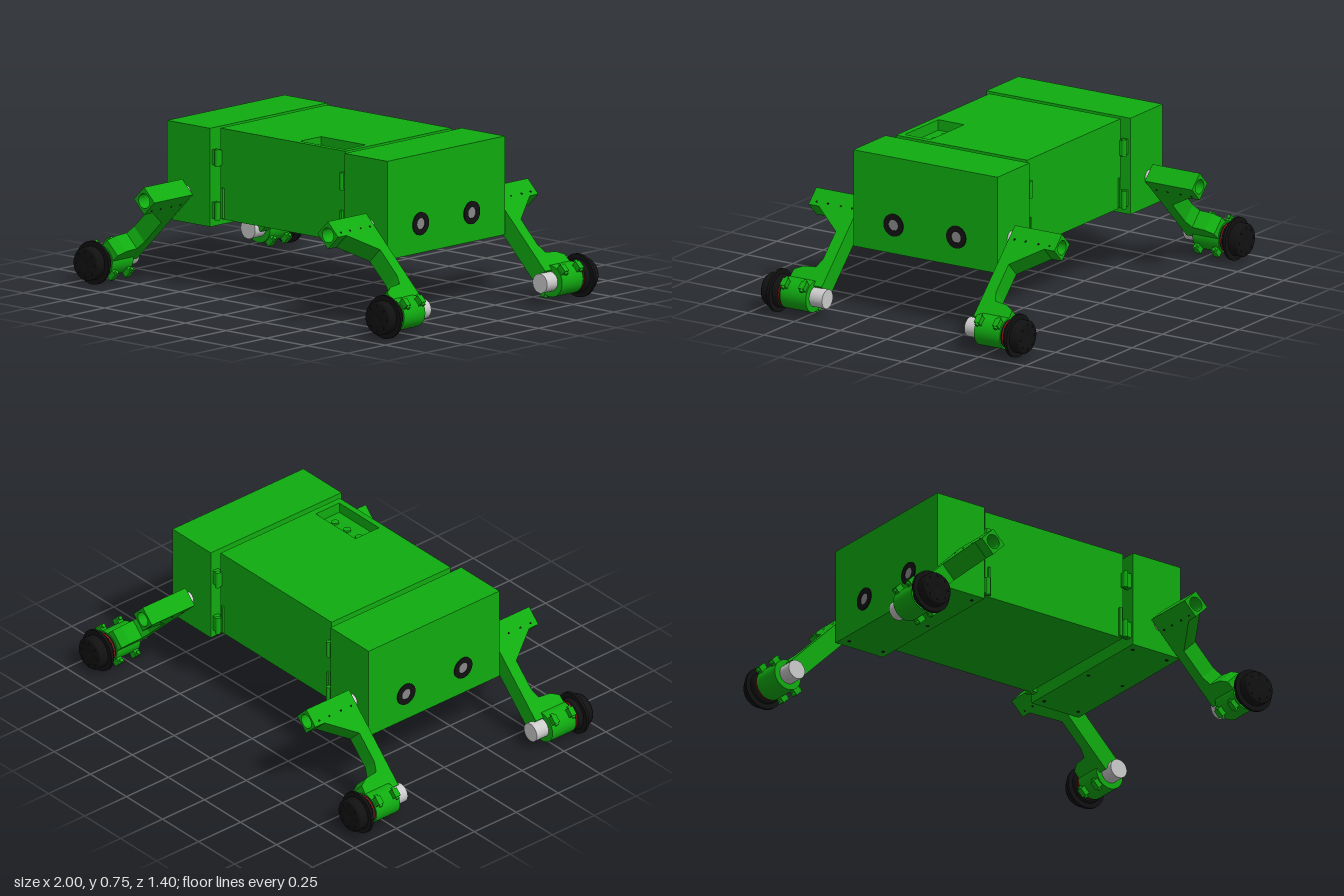
import * as THREE from 'three';

const mat = (color) => new THREE.MeshStandardMaterial({ color });
const green = mat(0x10ac10), black = mat(0x111111), silver = mat(0xcccccc), lens = mat(0x888888), red = mat(0xa01515);

function add(parent, name, geometry, material = green) {
  const m = new THREE.Mesh(geometry, material);
  m.name = name;
  parent.add(m);
  return m;
}

// box given by its limits on each axis
function box(x0, x1, y0, y1, z0, z1) {
  return new THREE.BoxGeometry(x1 - x0, y1 - y0, z1 - z0)
    .translate((x0 + x1) / 2, (y0 + y1) / 2, (z0 + z1) / 2);
}

// cylinder along z, from z0 to z1, around (x, y)
function rod(r, z0, z1, x = 0, y = 0, seg = 32) {
  return new THREE.CylinderGeometry(r, r, z1 - z0, seg)
    .rotateX(Math.PI / 2).translate(x, y, (z0 + z1) / 2);
}

function shapeOf(points) {
  return new THREE.Shape(points.map(([x, y]) => new THREE.Vector2(x, y)));
}

function extrude(shape, depth) {
  return new THREE.ExtrudeGeometry(shape, { depth, bevelEnabled: false, curveSegments: 16 });
}

// Leg: local x runs down the leg, z outward from the body, origin on the hip axis
function createLeg() {
  const leg = new THREE.Group();
  const w = 0.045, L = 0.472;

  // square hip block with a bore for the drive shaft
  const square = shapeOf([[-w, -w], [w, -w], [w, w], [-w, w]]);
  square.holes.push(new THREE.Path().absarc(0, 0, 0.034, 0, Math.PI * 2, true));
  add(leg, 'hipBlock', extrude(square, 0.255).translate(0, 0, 0.41));
  add(leg, 'hipShaft', rod(0.034, 0.37, 0.5), silver);

  // arm with gusset at the hip and a flare into the motor clamp
  const arm = shapeOf([[0.04, 0.41], [0.44, 0.41], [0.44, 0.595], [0.375, 0.59], [0.352, 0.55],
    [0.345, 0.485], [0.3, 0.468], [0.153, 0.468], [w, 0.61], [0.04, 0.61]]);
  add(leg, 'arm', extrude(arm, 2 * w).translate(0, 0, -w).rotateX(Math.PI / 2));

  // screws along the hip block
  for (const s of [-1, 1]) for (const z of [0.44, 0.5, 0.57, 0.63]) {
    add(leg, 'hipScrew', new THREE.CylinderGeometry(0.005, 0.005, 0.003, 10).translate(0.025, s * w, z), black);
  }

  // motor clamp with bolted ears
  add(leg, 'motorClamp', rod(0.073, 0.455, 0.595, L));
  for (const s of [-1, 1]) for (const z of [0.475, 0.575]) {
    add(leg, 'clampEar', box(L - 0.02, L + 0.02, s * 0.083 - 0.016, s * 0.083 + 0.016, z - 0.014, z + 0.014));
    add(leg, 'clampBolt', new THREE.CylinderGeometry(0.009, 0.009, 0.06, 12)
      .rotateZ(Math.PI / 2).translate(L, s * 0.088, z));
  }
  add(leg, 'motor', rod(0.045, 0.385, 0.46, L), silver);

  // wheel: hub, red spacer, tyre and thin flange
  add(leg, 'wheelHub', rod(0.066, 0.59, 0.62, L), black);
  add(leg, 'wheelSpacer', rod(0.068, 0.603, 0.609, L), red);
  const tyre = [[0, 0.61], [0.07, 0.61], [0.077, 0.617], [0.077, 0.69], [0.07, 0.699], [0.02, 0.699], [0, 0.694]]
    .map(([r, z]) => new THREE.Vector2(r, z));
  add(leg, 'tyre', new THREE.LatheGeometry(tyre, 40).rotateX(Math.PI / 2).translate(L, 0, 0), black);
  add(leg, 'wheelFlange', rod(0.1, 0.636, 0.65, L, 0, 40), black);
  for (let i = 0; i < 8; i++) {
    const a = i * Math.PI / 4;
    add(leg, 'wheelBolt', rod(0.006, 0.69, 0.702, L + 0.058 * Math.cos(a), 0.058 * Math.sin(a), 8), black);
  }
  return leg;
}

export function createModel() {
  const model = new THREE.Group();
  model.name = 'walkingRobot';

  // centre body with a lid that has a recessed control bay
  add(model, 'centreBody', box(-0.385, 0.385, 0.33, 0.7, -0.357, 0.353));
  const lid = shapeOf([[-0.385, -0.353], [0.385, -0.353], [0.385, 0.357], [-0.385, 0.357]]);
  lid.holes.push(shapeOf([[0.08, -0.325], [0.08, -0.185], [0.355, -0.185], [0.355, -0.325]]));
  add(model, 'lid', extrude(lid, 0.05).rotateX(-Math.PI / 2).translate(0, 0.7, 0));
  for (const x of [0.132, 0.215, 0.298]) {
    add(model, 'button', new THREE.CylinderGeometry(0.018, 0.018, 0.008, 24).translate(x, 0.704, 0.252));
  }

  for (const sx of [-1, 1]) {
    // end boxes
    add(model, 'endBox', new THREE.BoxGeometry(0.265, 0.455, 0.78).translate(sx * 0.5475, 0.5225, 0));

    // hinges joining the end boxes to the centre
    for (const sz of [-1, 1]) {
      for (const [y, h] of [[0.615, 0.07], [0.37, 0.075]]) {
        add(model, 'hingeTab', new THREE.BoxGeometry(0.05, h, 0.03).translate(sx * 0.4, y, sz * 0.362));
        add(model, 'hingePin', new THREE.CylinderGeometry(0.012, 0.012, h + 0.01, 16)
          .translate(sx * 0.385, y, sz * 0.374));
      }
      add(model, 'hingePlate', new THREE.BoxGeometry(0.012, 0.14, 0.02).translate(sx * 0.367, 0.405, sz * 0.356));
    }

    // paired round sensors on the end face
    for (const z of [-0.168, 0.172]) {
      const sensor = new THREE.Group();
      sensor.name = 'sensor';
      const ring = new THREE.Shape().absarc(0, 0, 0.053, 0, Math.PI * 2);
      ring.holes.push(new THREE.Path().absarc(0, 0, 0.026, 0, Math.PI * 2, true));
      add(sensor, 'sensorRing', extrude(ring, 0.006), black);
      add(sensor, 'sensorLens', rod(0.026, -0.002, 0.003), lens);
      sensor.position.set(sx * 0.679, 0.43, z);
      sensor.rotation.y = sx * Math.PI / 2;
      model.add(sensor);
    }

    // underside screws
    for (const x of [0.45, 0.64]) for (const z of [-0.34, 0, 0.34]) {
      add(model, 'baseScrew', new THREE.CylinderGeometry(0.008, 0.008, 0.003, 10)
        .translate(sx * x, 0.2945, z), black);
    }
  }

  // four legs; the rear pair is the front pair turned half round
  for (const turn of [0, Math.PI]) {
    const pair = new THREE.Group();
    pair.name = turn ? 'rearLegs' : 'frontLegs';
    for (const sx of [-1, 1]) {
      const leg = createLeg();
      leg.name = 'leg';
      leg.position.set(sx * 0.567, 0.434, 0);
      leg.rotation.z = sx > 0 ? -Math.PI / 4 : -3 * Math.PI / 4;
      pair.add(leg);
    }
    pair.rotation.y = turn;
    model.add(pair);
  }
  return model;
}
